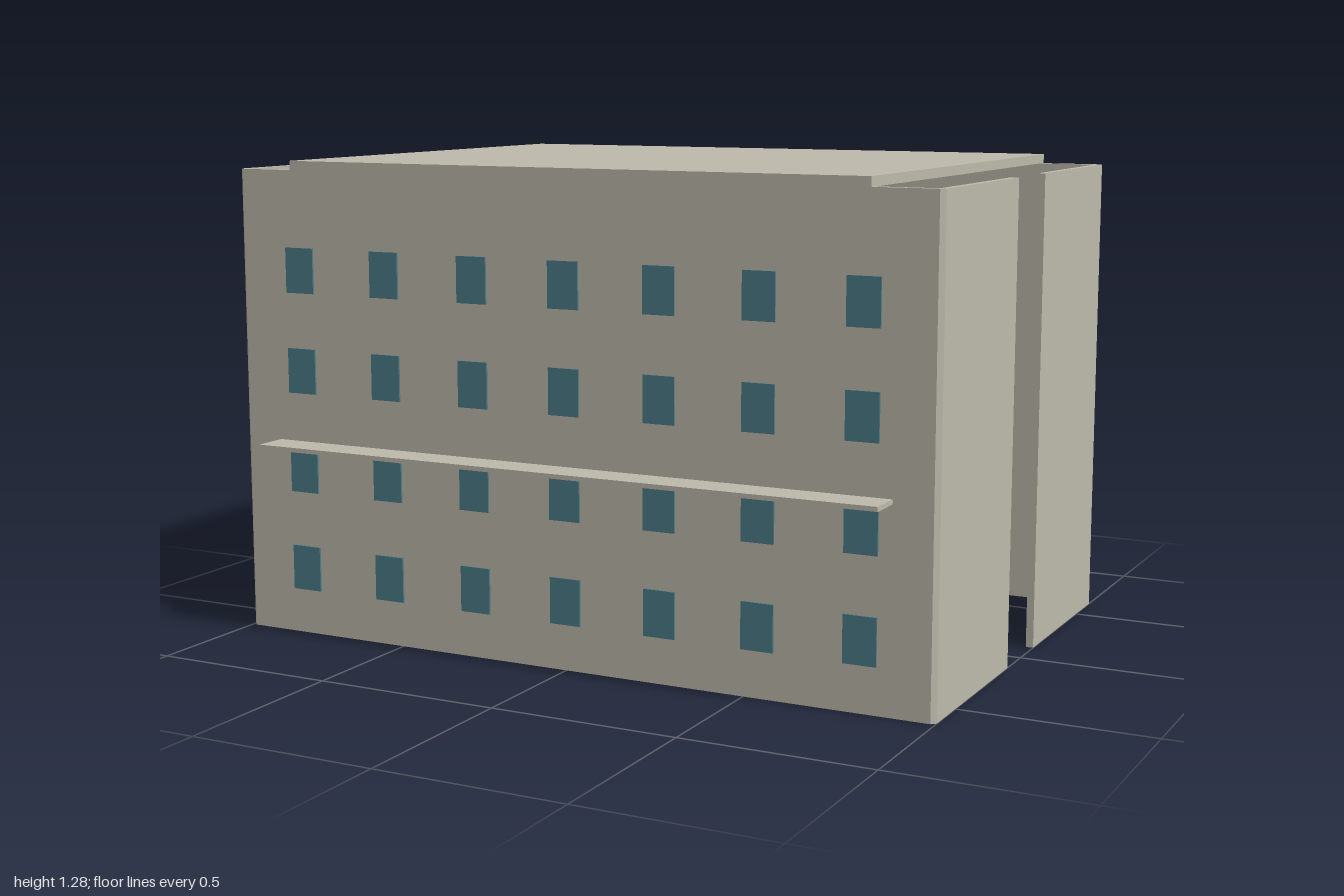
import * as THREE from 'three';

const X = 1, Z = 0.64;        // outer half width and half depth
const H = 1.257;              // wall height
const T = 0.02, C = 0.012;    // wall thickness, corner chamfer
const GAP = 0.107;            // half width of the doorway

export function createModel() {
  const concrete = new THREE.MeshStandardMaterial({ color: 0xbdbaac });
  concrete.name = 'concrete';
  const glass = new THREE.MeshStandardMaterial({ color: 0x4c7c88 });
  glass.name = 'glass';

  const model = new THREE.Group();
  model.name = 'building';

  const box = (name, material, size, position, parent = model) => {
    const mesh = new THREE.Mesh(new THREE.BoxGeometry(...size), material);
    mesh.name = name;
    mesh.position.set(...position);
    parent.add(mesh);
  };

  // Hollow wall shell, open below, with a full-height doorway on the +x side
  const half = [
    [X, GAP], [X, Z - C], [X - C, Z], [-X + C, Z], [-X, Z - C],
  ];
  const inner = [
    [-X + T, Z - T], [X - T, Z - T], [X - T, GAP],
  ];
  const flip = (points) => points.map(([x, z]) => [x, -z]).reverse();
  const outline = [...half, ...flip(half), ...flip(inner), ...inner];
  const shape = new THREE.Shape(outline.map(([x, z]) => new THREE.Vector2(x, z)));
  const shell = new THREE.ExtrudeGeometry(shape, { depth: H, bevelEnabled: false });
  shell.rotateX(-Math.PI / 2);
  const walls = new THREE.Mesh(shell, concrete);
  walls.name = 'walls';
  model.add(walls);

  // Roof slab, leaving both ends open
  box('roof', concrete, [1.65, 0.025, 1.3], [0, H + 0.0125, 0]);

  // Ledge and window grid on the front and the back
  for (const side of [1, -1]) {
    const label = side > 0 ? 'front' : 'back';
    box(label + 'Ledge', concrete, [1.77, 0.012, 0.095], [0, 0.524, side * 0.6875]);

    const windows = new THREE.Group();
    windows.name = label + 'Windows';
    model.add(windows);
    for (let row = 0; row < 4; row++) {
      for (let col = -3; col <= 3; col++) {
        box('window', glass, [0.087, 0.121, 0.008],
          [col * 0.269, 0.181 + row * 0.27, side * (Z + 0.001)], windows);
      }
    }
  }
  return model;
}
